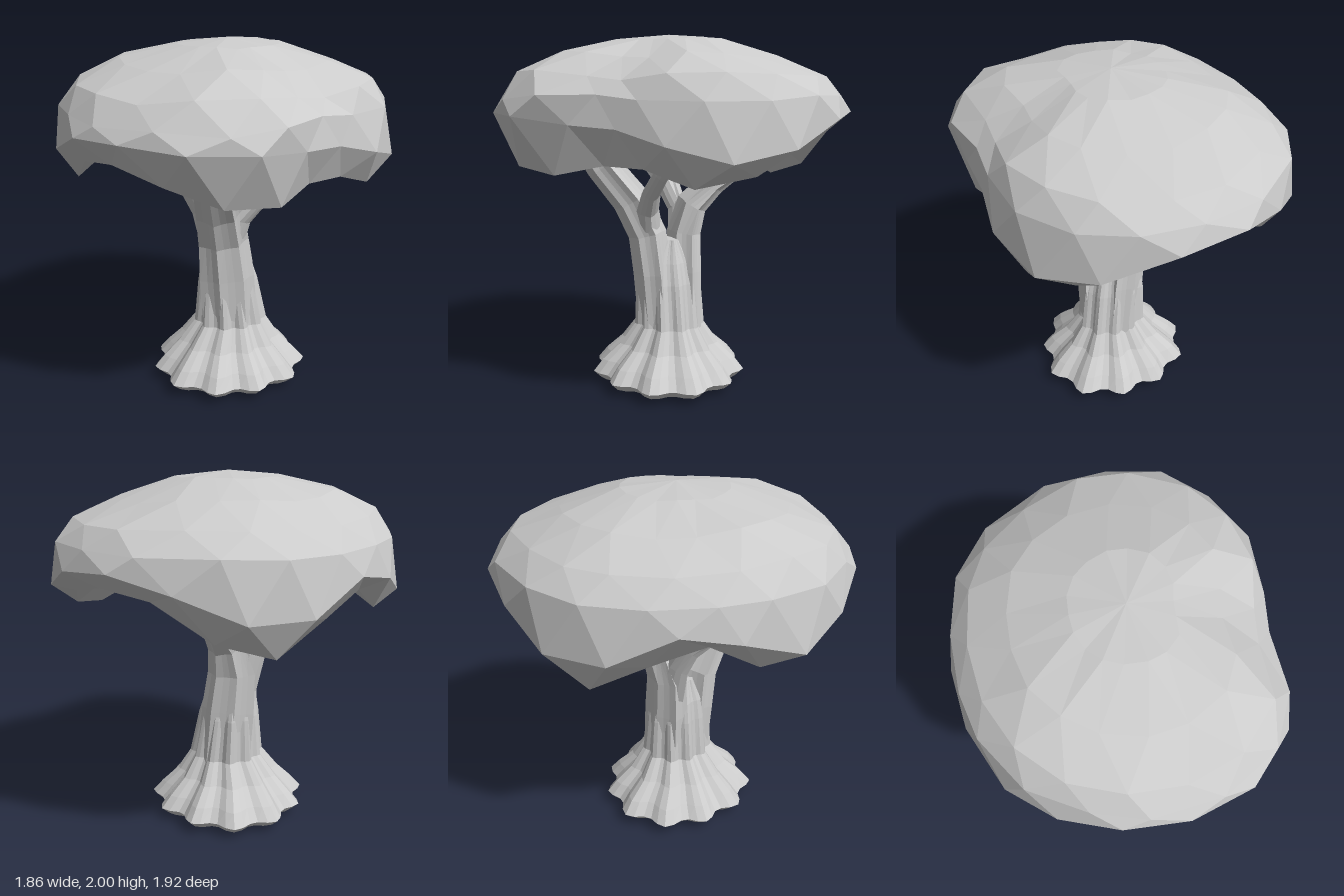
import * as THREE from 'three';

const V = (x, y, z) => new THREE.Vector3(x, y, z);

// Small seeded generator, -1..1
let seed = 7;
const rnd = () => ((seed = (seed * 16807) % 2147483647) / 2147483647) * 2 - 1;

// Skin a stack of rings (listed bottom to top) and close both ends
function loft(rings, bottom, top) {
  const n = rings[0].length, pos = [];
  const tri = (...p) => p.forEach((q) => pos.push(q.x, q.y, q.z));
  rings.forEach((r, k) => {
    for (let i = 0; i < n; i++) {
      const j = (i + 1) % n, up = rings[k + 1];
      if (k === 0) tri(bottom, r[i], r[j]);
      if (up) {
        tri(r[i], up[i], r[j]);
        tri(r[j], up[i], up[j]);
      } else tri(top, r[j], r[i]);
    }
  });
  const g = new THREE.BufferGeometry();
  g.setAttribute('position', new THREE.Float32BufferAttribute(pos, 3));
  g.computeVertexNormals();
  return g;
}

// Crown outline by angle in 15 degree steps, from +x towards +z
const OUT = [0.92, 0.87, 0.77, 0.71, 0.76, 0.91, 0.96, 0.97, 0.97, 0.96, 0.95, 0.95,
  0.94, 0.92, 0.9, 0.89, 0.93, 0.97, 0.97, 0.97, 1.0, 1.0, 0.99, 0.97];
// Height of the drooping lower edge
const LOW = [1.22, 1.24, 1.32, 1.34, 1.28, 1.26, 1.29, 1.36, 1.44, 1.46, 1.42, 1.28,
  1.21, 1.31, 1.44, 1.38, 1.22, 1.15, 1.25, 1.42, 1.48, 1.48, 1.42, 1.32];
// Height of the widest line
const WIDE = [1.36, 1.4, 1.5, 1.52, 1.53, 1.55, 1.58, 1.58, 1.59, 1.6, 1.55, 1.41,
  1.35, 1.44, 1.56, 1.52, 1.38, 1.34, 1.42, 1.54, 1.58, 1.58, 1.5, 1.39];

function sample(table, a) {
  const t = (((a / (Math.PI * 2)) % 1) + 1) % 1 * 24, i = Math.floor(t);
  return THREE.MathUtils.lerp(table[i % 24], table[(i + 1) % 24], t - i);
}

function crownGeometry() {
  const n = 18;
  // The shoulder sits a little lower on the diagonals and towards +x
  const sag = (a) => 0.015 * (1 - Math.cos(4 * a)) + 0.01 * (1 + Math.cos(a));
  // [share of outline, height rule, jitter]
  const levels = [
    [0.64, () => 1.48, 0.005],
    [0.88, (a) => sample(LOW, a), 0.005],
    [1.0, (a) => sample(WIDE, a), 0.005],
    [0.965, () => 1.66, 0.015],
    [0.86, (a) => 1.8 - sag(a), 0.015],
    [0.62, (a) => 1.905 - sag(a), 0.01],
    [0.3, () => 1.97, 0.008],
  ];
  const rings = levels.map(([s, h, jit], k) => Array.from({ length: n }, (_, i) => {
    const a = ((i + k * 0.5 + rnd() * jit * 8) / n) * Math.PI * 2;
    const r = sample(OUT, a) * s * (1 + rnd() * jit);
    return V(Math.cos(a) * r, h(a) + rnd() * jit, Math.sin(a) * r);
  }));
  return loft(rings, V(0, 1.48, 0), V(0, 2, 0));
}

// Root flare and trunk: lobed rings, closing inside the fork
function trunkGeometry() {
  const n = 55, lobes = 11;
  // [height, x radius, z radius, lobe depth, x shift]
  const rings = [
    [0.03, 0.38, 0.38, 0.07, 0], [0.07, 0.425, 0.42, 0.07, 0], [0.14, 0.365, 0.365, 0.08, 0],
    [0.23, 0.28, 0.27, 0.08, 0], [0.35, 0.2, 0.19, 0.08, 0.01],
    [0.6, 0.165, 0.18, 0.07, -0.005], [0.72, 0.14, 0.16, 0.06, -0.015], [0.85, 0.1, 0.06, 0.05, -0.02],
  ].map(([y, rx, rz, d, sx]) => Array.from({ length: n }, (_, i) => {
    const a = (i / n) * Math.PI * 2;
    const f = 1 + d * Math.cos(a * lobes) + 0.03 * Math.sin(a * 3 + 1);
    return V(sx + Math.cos(a) * rx * f, y, Math.sin(a) * rz * f);
  }));
  return loft(rings, V(0, 0, 0), V(-0.02, 0.85, 0));
}

// Ribbed, tapering limb through stations [x, y, z, sideways radius, depth radius]
function limbGeometry(stations, ribs) {
  const pts = stations.map((s) => V(s[0], s[1], s[2])), n = ribs * 3;
  const rings = pts.map((p, k) => {
    const t = pts[Math.min(k + 1, pts.length - 1)].clone().sub(pts[Math.max(k - 1, 0)]).normalize();
    const v = V(0, 0, 1).addScaledVector(t, -t.z).normalize();
    const u = t.clone().cross(v);
    const [ru, rv = ru] = stations[k].slice(3);
    return Array.from({ length: n }, (_, i) => {
      const a = (i / n) * Math.PI * 2, f = 1 + 0.1 * Math.cos(a * ribs);
      return p.clone().addScaledVector(u, Math.cos(a) * ru * f).addScaledVector(v, Math.sin(a) * rv * f);
    });
  });
  return loft(rings, pts[0], pts[pts.length - 1]);
}

const LIMBS = {
  frontLimb: [[0.01, 0.3, 0.08, 0.15, 0.09], [-0.01, 0.65, 0.1, 0.15, 0.095], [-0.03, 0.88, 0.12, 0.135, 0.1],
    [-0.05, 1.08, 0.21, 0.125, 0.1], [-0.07, 1.28, 0.37, 0.11, 0.09], [-0.1, 1.52, 0.53, 0.085, 0.07]],
  frontLeftBranch: [[0, 0.85, 0.12, 0.08], [0.07, 1.03, 0.15, 0.06], [0.17, 1.14, 0.16, 0.05],
    [0.32, 1.26, 0.15, 0.045], [0.5, 1.42, 0.1, 0.035]],
  backLimb: [[0.02, 0.3, -0.08, 0.15, 0.09], [-0.01, 0.65, -0.09, 0.145, 0.09], [-0.03, 0.88, -0.1, 0.13, 0.085],
    [0, 1.05, -0.14, 0.1, 0.08], [0.05, 1.17, -0.25, 0.07], [0.1, 1.27, -0.38, 0.06],
    [0.28, 1.4, -0.53, 0.05], [0.45, 1.53, -0.68, 0.04]],
  backMiddleBranch: [[0.04, 1.15, -0.24, 0.055], [0.05, 1.28, -0.38, 0.05], [0.02, 1.52, -0.58, 0.045]],
  backRightBranch: [[-0.06, 0.8, -0.09, 0.1, 0.07], [-0.13, 1.0, -0.1, 0.08, 0.055], [-0.21, 1.14, -0.08, 0.07, 0.055],
    [-0.31, 1.23, -0.03, 0.055], [-0.44, 1.36, 0, 0.05], [-0.58, 1.5, 0.02, 0.045]],
  innerRightBranch: [[-0.13, 1.02, -0.09, 0.055], [-0.19, 1.17, -0.03, 0.055], [-0.29, 1.33, 0.07, 0.05], [-0.41, 1.51, 0.13, 0.045]],
};

export function createModel() {
  const group = new THREE.Group();
  const mat = new THREE.MeshStandardMaterial({ color: 0xcccccc, flatShading: true });
  seed = 7;
  const add = (name, geo) => {
    const m = new THREE.Mesh(geo, mat);
    m.name = name;
    group.add(m);
  };
  add('crown', crownGeometry());
  add('trunk', trunkGeometry());
  for (const [name, stations] of Object.entries(LIMBS)) {
    add(name, limbGeometry(stations, name.endsWith('Limb') ? 7 : 4));
  }
  return group;
}
